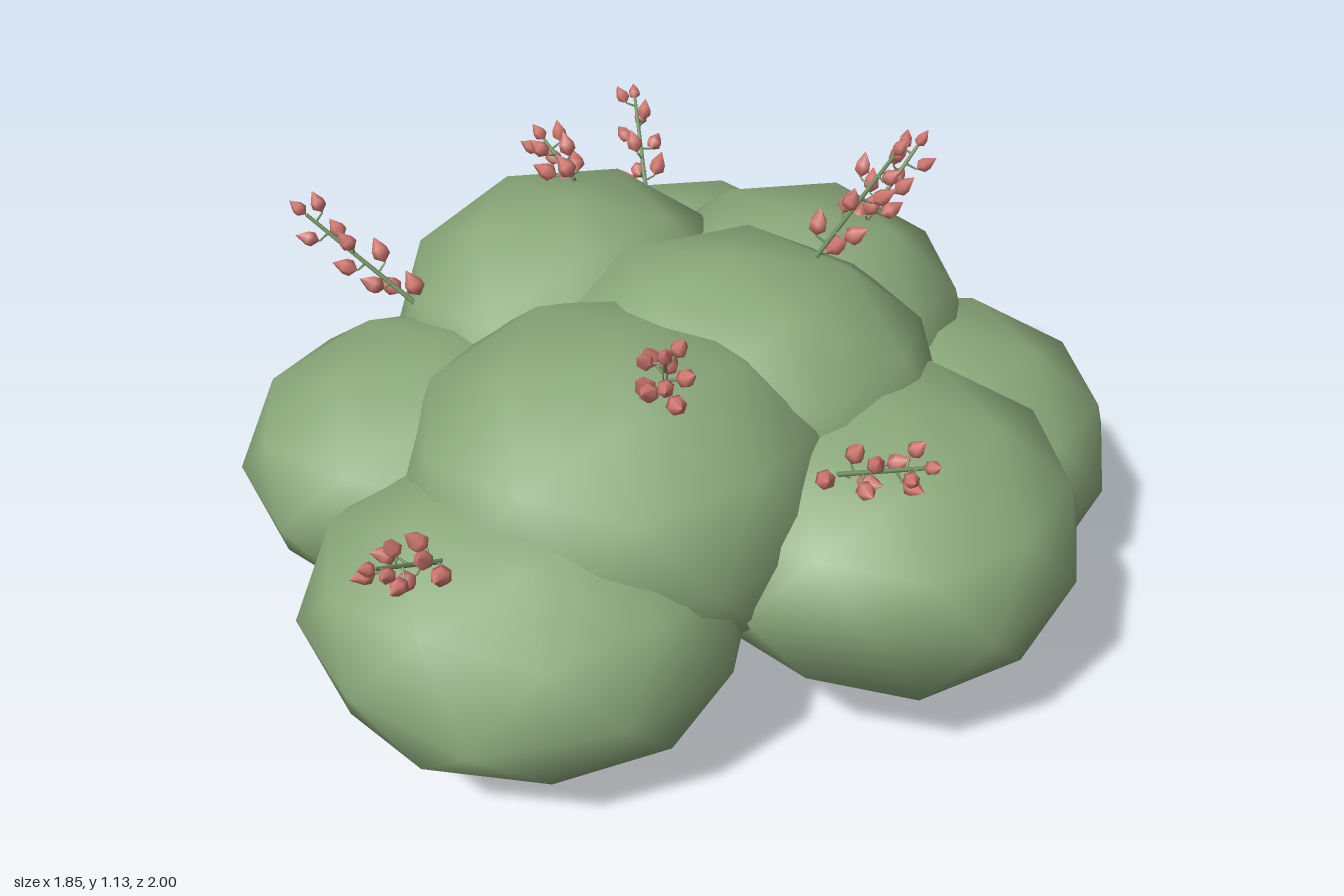
import * as THREE from 'three';

const leafGreen = new THREE.MeshStandardMaterial({ color: 0x8aa87a });
leafGreen.name = 'leaf green';
const stemGreen = new THREE.MeshStandardMaterial({ color: 0x7a9a6c });
stemGreen.name = 'stem green';
const budPink = new THREE.MeshStandardMaterial({ color: 0xd07870 });
budPink.name = 'bud pink';

const UP = new THREE.Vector3(0, 1, 0);

// Foliage mounds: name, centre, radii, z-end and top shape (0 flat, 1 round, 2 pointed), yaw
const MOUNDS = [
  ['frontMound', [-0.235, 0.34, 0.56], [0.465, 0.31, 0.39], 1.65, 1, 0],
  ['frontLeftMound', [0.455, 0.39, 0.215], [0.42, 0.305, 0.45], 0, 1, 0],
  ['backLeftMound', [0.53, 0.3, -0.22], [0.41, 0.31, 0.43], 0, 0.7, 0],
  ['backMound', [-0.12, 0.365, -0.57], [0.44, 0.31, 0.43], 1, 1, 0],
  ['rightMound', [-0.51, 0.41, 0.17], [0.44, 0.29, 0.4], 0, 1, 0],
  ['upperFrontMound', [-0.09, 0.51, 0.31], [0.46, 0.36, 0.45], 0.7, 0.5, 0],
  ['upperLeftMound', [0.1, 0.55, 0.02], [0.46, 0.35, 0.39], 1, 0.7, 0.31],
  ['upperBackMound', [0.19, 0.47, -0.35], [0.41, 0.36, 0.41], 1, 0.5, 0],
  ['upperRightMound', [-0.3, 0.53, -0.2], [0.41, 0.37, 0.42], 0, 0.4, 0],
];

// Flower sprigs: base and tip
const SPRIGS = [
  [[0.03, 0.79, 0.43], [0.07, 1.02, 0.64]],
  [[0.34, 0.61, 0.38], [0.54, 0.79, 0.57]],
  [[-0.34, 0.58, 0.73], [-0.42, 0.67, 0.88]],
  [[-0.58, 0.66, 0], [-0.84, 0.87, -0.02]],
  [[0.25, 0.83, -0.06], [0.41, 1.08, -0.1]],
  [[0.32, 0.74, -0.35], [0.44, 0.91, -0.49]],
  [[-0.29, 0.83, -0.3], [-0.39, 0.92, -0.36]],
  [[-0.21, 0.63, -0.64], [-0.29, 0.78, -0.9]],
];

// Pointed bud with its base at the origin
const budGeometry = new THREE.LatheGeometry(
  [[0, 0], [0.019, 0.016], [0.018, 0.032], [0, 0.062]].map(([x, y]) => new THREE.Vector2(x, y)), 6);

// Stretches or flattens whatever lies beyond 0.81 of the unit radius
const reshape = (v, k) => Math.abs(v) > 0.81 ? Math.sign(v) * (0.81 + (Math.abs(v) - 0.81) * k) : v;

// Faceted ball standing on a corner, with its own end and top shape
function makeMound([name, centre, radii, endShape, topShape, yaw]) {
  const geometry = new THREE.IcosahedronGeometry(1, 1)
    .rotateX(-Math.atan((1 + Math.sqrt(5)) / 2)).rotateY(Math.PI / 2 + yaw);
  const points = geometry.attributes.position;
  for (let i = 0; i < points.count; i++) {
    const y = points.getY(i);
    points.setY(i, y > 0 ? reshape(y, topShape) : y);
    points.setZ(i, reshape(points.getZ(i), endShape));
  }
  const mound = new THREE.Mesh(geometry.scale(...radii), leafGreen);
  mound.name = name;
  mound.position.set(...centre);
  return mound;
}

function makeRod(from, to, radius, name) {
  const dir = to.clone().sub(from);
  const rod = new THREE.Mesh(new THREE.CylinderGeometry(radius * 0.7, radius, dir.length(), 5), stemGreen);
  rod.name = name;
  rod.position.copy(from).add(to).multiplyScalar(0.5);
  rod.quaternion.setFromUnitVectors(UP, dir.normalize());
  return rod;
}

function makeSprig([a, b], index) {
  const sprig = new THREE.Group();
  sprig.name = 'sprig' + (index + 1);
  const base = new THREE.Vector3(...a), tip = new THREE.Vector3(...b);
  const axis = tip.clone().sub(base).normalize();
  const side = new THREE.Vector3(0, 0, 1).cross(axis).normalize();
  sprig.add(makeRod(base, tip, 0.006, 'stem'));

  const addBud = (position, direction, size) => {
    const bud = new THREE.Mesh(budGeometry, budPink);
    bud.name = 'bud';
    bud.position.copy(position);
    bud.quaternion.setFromUnitVectors(UP, direction);
    bud.scale.setScalar(size);
    sprig.add(bud);
  };

  // Buds spiral up the stem on short stalks and shrink toward the tip
  const count = 9;
  for (let i = 0; i < count; i++) {
    const t = 0.1 + 0.82 * i / (count - 1);
    const out = side.clone().applyAxisAngle(axis, i * 2.4 + index);
    const root = base.clone().lerp(tip, t);
    const end = root.clone().addScaledVector(out, 0.028).addScaledVector(axis, 0.003);
    sprig.add(makeRod(root, end, 0.003, 'stalk'));
    addBud(end, out.multiplyScalar(0.5).add(axis).normalize(), 1.1 - 0.3 * t);
  }
  addBud(tip, axis, 0.75);
  return sprig;
}

export function createModel() {
  const model = new THREE.Group();
  model.name = 'floweringShrub';
  const foliage = new THREE.Group();
  foliage.name = 'foliage';
  MOUNDS.forEach((m) => foliage.add(makeMound(m)));
  const flowers = new THREE.Group();
  flowers.name = 'flowers';
  SPRIGS.forEach((s, i) => flowers.add(makeSprig(s, i)));
  model.add(foliage, flowers);
  return model;
}
